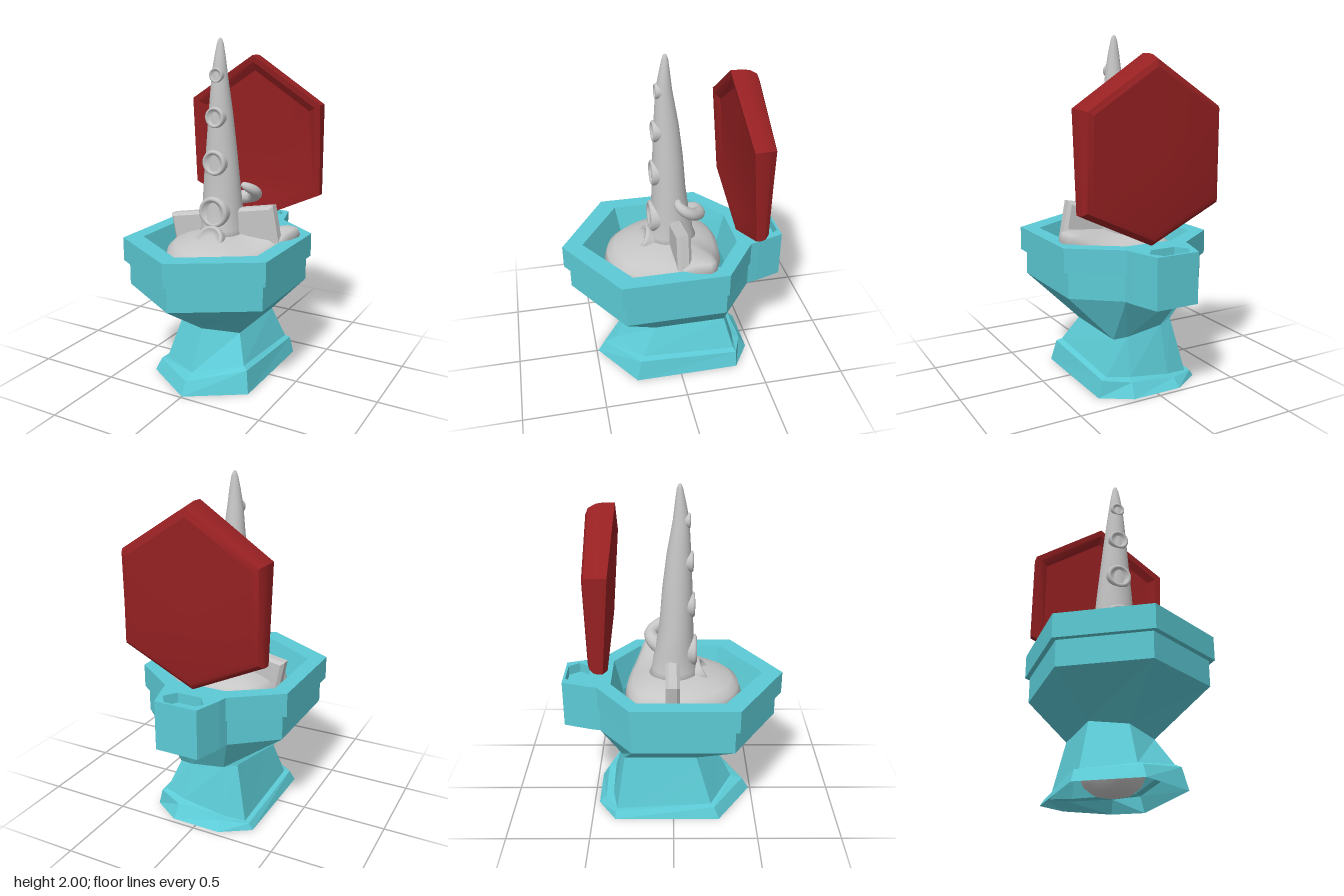
import * as THREE from 'three';
import { toCreasedNormals } from 'three/addons/utils/BufferGeometryUtils.js';

const mat = (name, color, side = THREE.FrontSide) => {
  const m = new THREE.MeshStandardMaterial({ color, side });
  m.name = name;
  return m;
};
const V = (x, y, z) => new THREE.Vector3(x, y, z);

// Skin a list of closed rings; crease is the angle above which edges stay sharp
function loft(rings, crease, capStart = false, capEnd = false) {
  const n = rings[0].length, pos = [], idx = [];
  rings.forEach(r => r.forEach(p => pos.push(p.x, p.y, p.z)));
  for (let k = 0; k < rings.length - 1; k++)
    for (let i = 0; i < n; i++) {
      const j = (i + 1) % n, a = k * n + i, b = k * n + j;
      idx.push(a, b, b + n, a, b + n, a + n);
    }
  const cap = (k, flip) => {
    const c = V(0, 0, 0);
    rings[k].forEach(p => c.addScaledVector(p, 1 / n));
    const ci = pos.length / 3;
    pos.push(c.x, c.y, c.z);
    for (let i = 0; i < n; i++) {
      const a = k * n + i, b = k * n + (i + 1) % n;
      flip ? idx.push(ci, b, a) : idx.push(ci, a, b);
    }
  };
  if (capStart) cap(0, true);
  if (capEnd) cap(rings.length - 1, false);
  const g = new THREE.BufferGeometry();
  g.setAttribute('position', new THREE.Float32BufferAttribute(pos, 3));
  g.setIndex(idx);
  g.computeVertexNormals();
  return crease === undefined ? g : toCreasedNormals(g, crease);
}

// Seven-sided plan: pointed front, two straight sides, narrow flat back.
// Each of front / side / rear / back is given as [x, y, z]; tilt raises the +x side
function plan([fy, fz], [sx, sy, sz], [ry, rz], [bx, by, bz], tilt = 0) {
  return [V(0, fy, fz), V(sx, sy + tilt, sz), V(sx, ry + tilt, rz), V(bx, by + tilt / 2, bz),
    V(-bx, by - tilt / 2, bz), V(-sx, ry - tilt, rz), V(-sx, sy - tilt, sz)];
}
const flatPlan = (y, f, x, s, r, bx, b) => plan([y, f], [x, y, s], [y, r], [bx, y, b]);
const neck = () => plan([0.335, 0.26], [0.19, 0.333, 0.14], [0.333, -0.3], [0.11, 0.325, -0.32], -0.033);

const circle = (y, cx, cz, rx, rz, n) => Array.from({ length: n }, (_, i) => {
  const a = i / n * Math.PI * 2;
  return V(cx + Math.sin(a) * rx, y, cz + Math.cos(a) * rz);
});

export function createModel() {
  const group = new THREE.Group();
  const teal = mat('teal porcelain', 0x5ccbd6, THREE.DoubleSide);
  const red = mat('dark red lid', 0x962022);
  const grey = mat('light grey', 0xc6c6c6);
  const add = (name, geo, m) => {
    const mesh = new THREE.Mesh(geo, m);
    mesh.name = name;
    group.add(mesh);
    return mesh;
  };

  // Bowl: outside from neck to rim, then down the inside
  add('bowl', loft([
    neck(),
    flatPlan(0.565, 0.625, 0.44, 0.35, -0.24, 0.19, -0.44),
    flatPlan(0.715, 0.625, 0.44, 0.35, -0.24, 0.19, -0.44),
    flatPlan(0.715, 0.66, 0.467, 0.372, -0.245, 0.19, -0.45),
    flatPlan(0.855, 0.66, 0.467, 0.372, -0.245, 0.19, -0.45),
    flatPlan(0.855, 0.54, 0.376, 0.295, -0.21, 0.15, -0.37),
    flatPlan(0.66, 0.47, 0.32, 0.26, -0.18, 0.14, -0.32),
    neck(),
  ], 0.05), teal);

  // Hollow pedestal flaring into a crooked foot
  add('pedestal', loft([
    plan([0, 0.49], [0.32, 0, 0.28], [0, -0.36], [0.15, 0, -0.47]),
    plan([0.075, 0.445], [0.295, 0.1, 0.25], [0.068, -0.36], [0.14, 0.065, -0.425], 0.03),
    plan([0.1, 0.37], [0.265, 0.11, 0.23], [0.075, -0.35], [0.125, 0.075, -0.38], 0.035),
    neck(),
  ], 0.05), teal);

  // Rear hinge block with a hexagonal socket in the top
  const outline = () => {
    const s = new THREE.Shape();
    [[0.2, 0.41], [0.18, 0.5], [0.13, 0.66], [-0.13, 0.66], [-0.18, 0.5], [-0.2, 0.41]]
      .forEach(([x, y], i) => i ? s.lineTo(x, y) : s.moveTo(x, y));
    return s;
  };
  const block = (name, shape, y, depth) => {
    const g = new THREE.ExtrudeGeometry(shape, { depth, bevelEnabled: false });
    g.rotateX(-Math.PI / 2);
    add(name, g, teal).position.y = y;
  };
  const socket = outline();
  socket.holes.push(new THREE.Path([[0.125, 0.58], [0.075, 0.507], [-0.075, 0.507],
    [-0.125, 0.58], [-0.08, 0.645], [0.08, 0.645]].map(([x, y]) => new THREE.Vector2(x, y))));
  block('hingeBlock', outline(), 0.565, 0.23);
  block('hingeSocket', socket, 0.795, 0.06);

  // Open lid: leaning hexagon, bevelled behind and dished in front
  const hex = [[0, 0.515], [-0.435, 0.235], [-0.435, -0.315], [0, -0.52], [0.435, -0.315], [0.435, 0.235]];
  const lidRing = (s, t) => hex.map(([hx, hy]) => {
    const y = 1.375 + hy * s;
    const front = -0.4 + (y - 0.86) * 0.078, back = -0.465 - (y - 0.885) * 0.021;
    return V(0.022 + hx * s, y, back + (front - back) * t);
  });
  add('lid', loft([[0.87, 0], [0.94, 0.1], [0.985, 0.35], [1, 0.6], [1, 1], [0.92, 0.98], [0.82, 0.8]]
    .map(([s, t]) => lidRing(s, t)), 0.4, true, true), red);

  // Fleshy mass: round root in the pedestal widening to a lopsided heap in the bowl
  const N = 48;
  const heap = new THREE.CatmullRomCurve3([[0, 0.41], [0.2, 0.36], [0.32, 0.2], [0.4, -0.03], [0.435, -0.16],
    [0.3, -0.22], [0.1, -0.28], [-0.1, -0.285], [-0.25, -0.22], [-0.31, -0.05], [-0.3, 0.15], [-0.17, 0.35]]
    .map(([x, z]) => V(x, 0, z)), true).getSpacedPoints(N).slice(0, N);
  const heapRing = (s, y) => heap.map(p => {
    const w = Math.exp(-((p.x - 0.43) ** 2 + (p.z + 0.13) ** 2) / 0.04);
    return V(p.x * s, y + 0.14 * w * s * s, p.z * s);
  });
  add('fleshyMass', loft([
    ...[[0.004, 0.05], [0.02, 0.11], [0.06, 0.16], [0.13, 0.19], [0.22, 0.2], [0.28, 0.199], [0.34, 0.17]]
      .map(([y, r]) => circle(y, 0, -0.02, r, r, N)),
    ...[[0.55, 0.48], [0.75, 0.6], [0.93, 0.68], [1, 0.735], [0.96, 0.785], [0.85, 0.82], [0.65, 0.845], [0.4, 0.87]]
      .map(([s, y]) => heapRing(s, y)),
  ], undefined, true, true), grey);

  // Main tentacle: y, centre z, half width, half depth
  add('tentacle', loft([
    [0.8, 0, 0.15, 0.17], [0.9, 0.005, 0.128, 0.135], [1, 0.005, 0.122, 0.12], [1.1, 0.012, 0.116, 0.107],
    [1.2, 0.017, 0.108, 0.098], [1.4, 0.022, 0.088, 0.087], [1.6, 0.03, 0.068, 0.07], [1.8, 0.042, 0.046, 0.046],
    [1.9, 0.038, 0.032, 0.03], [1.97, 0.035, 0.019, 0.018], [1.993, 0.035, 0.01, 0.01], [2, 0.035, 0.002, 0.002],
  ].map(([y, z, rx, rz]) => circle(y, 0, z, rx, rz, 28)), undefined, true, true), grey);

  // Suckers: cupped discs down the front, the lowest tipped upward
  const cup = [[1, -0.8], [1.02, 0], [0.97, 0.17], [0.86, 0.24], [0.74, 0.2], [0.66, 0.04], [0.4, -0.04], [0, -0.05]]
    .map(([x, y]) => new THREE.Vector2(x, y));
  const suckers = [[0, 1.795, 0.085, 0.042, 0], [0, 1.56, 0.1, 0.06, 0], [0, 1.3, 0.108, 0.074, 0],
    [0, 1.01, 0.118, 0.092, 0], [0.01, 0.86, 0.18, 0.085, -0.55]];
  suckers.forEach(([x, y, z, r, tip], i) => {
    const g = new THREE.LatheGeometry(cup, 24);
    g.rotateX(Math.PI / 2);
    const m = add('sucker' + (i + 1), g, grey);
    m.position.set(x, y, z);
    m.scale.set(r, r, r * 0.9);
    m.rotation.x = tip;
  });

  // Small curled tendril, tapering to a rounded tip
  const curl = new THREE.CatmullRomCurve3([V(0, 1, -0.05), V(0.04, 1.05, -0.12), V(0.12, 1.07, -0.135),
    V(0.175, 1.1, -0.085), V(0.18, 1.13, -0.04), V(0.15, 1.155, -0.01), V(0.11, 1.165, -0.02)]);
  const S = 30, R = 12, tube = new THREE.TubeGeometry(curl, S, 1, R);
  const pos = tube.attributes.position;
  for (let i = 0; i <= S; i++) {
    const c = curl.getPointAt(i / S), t = i / S;
    const r = (0.048 - 0.02 * t) * Math.sqrt(Math.max(0, 1 - t ** 12));
    for (let j = 0; j <= R; j++) {
      const k = i * (R + 1) + j;
      const p = V(0, 0, 0).fromBufferAttribute(pos, k).sub(c).multiplyScalar(r).add(c);
      pos.setXYZ(k, p.x, p.y, p.z);
    }
  }
  add('curledTendril', tube, grey);

  // Tilted chamfered plank running through the tentacle
  const bev = 0.018, w = 0.35 - bev, h = 0.125 - bev;
  const board = new THREE.Shape([[-w, -h], [w, -h], [w, h], [-w, h]].map(([x, y]) => new THREE.Vector2(x, y)));
  const plankGeo = new THREE.ExtrudeGeometry(board,
    { depth: 0.082 - 2 * bev, bevelThickness: bev, bevelSize: bev, bevelSegments: 1 });
  plankGeo.translate(0, 0, -0.041 + bev);
  const plank = add('plank', plankGeo, grey);
  plank.position.set(0.012, 0.88, -0.005);
  plank.rotation.z = 0.187;

  return group;
}
